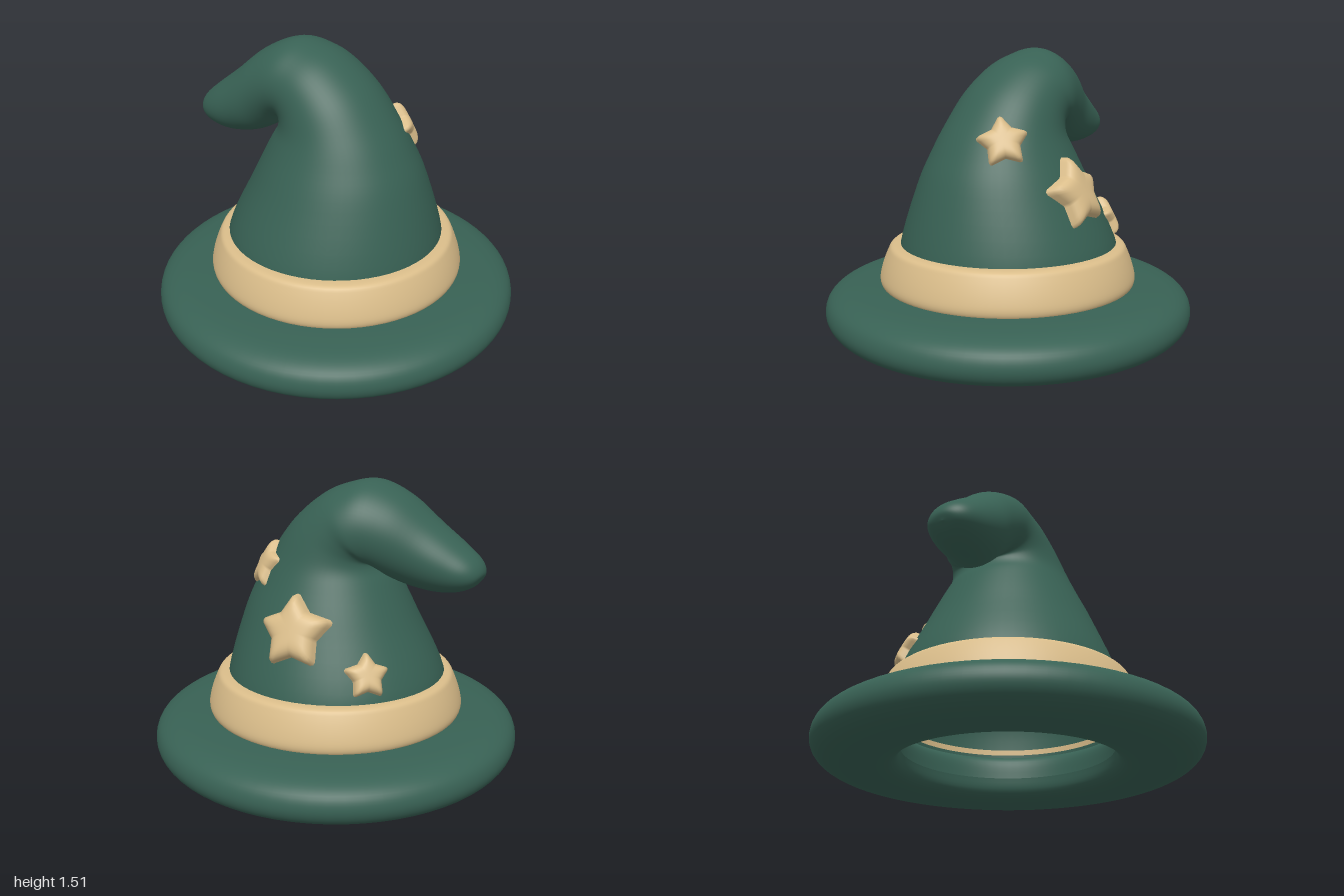
import * as THREE from 'three';
import { mergeVertices } from 'three/addons/utils/BufferGeometryUtils.js';

const V2 = (p) => new THREE.Vector2(p[0], p[1]);

// Smooth lathe from a few profile points
function lathe(points, steps) {
  const curve = new THREE.SplineCurve(points.map(V2));
  return new THREE.LatheGeometry(curve.getPoints(steps), 72);
}

// Bent crown: elliptical sections, each spanning an outer and an inner point
// [outerX, outerY, innerX, innerY, centreZ, halfWidthZ]
function crownGeometry() {
  const sections = [
    [0.60, 0.20, -0.60, 0.20, 0, 0.60],
    [0.59, 0.46, -0.60, 0.46, 0, 0.59],
    [0.50, 0.80, -0.45, 0.78, 0, 0.46],
    [0.42, 0.98, -0.35, 0.98, 0, 0.375],
    [0.33, 1.13, -0.305, 1.05, 0, 0.33],
    [0.20, 1.30, -0.29, 1.08, 0, 0.30],
    [0.04, 1.43, -0.29, 1.085, 0, 0.28],
    [-0.10, 1.49, -0.30, 1.07, 0, 0.27],
    [-0.24, 1.51, -0.32, 1.045, 0.015, 0.255],
    [-0.40, 1.44, -0.36, 1.01, 0.04, 0.23],
    [-0.55, 1.315, -0.44, 0.975, 0.075, 0.20],
    [-0.68, 1.215, -0.56, 0.955, 0.095, 0.17],
    [-0.77, 1.14, -0.67, 0.965, 0.10, 0.13],
    [-0.80, 1.08, -0.745, 0.995, 0.10, 0.075],
    [-0.785, 1.035, -0.785, 1.035, 0.10, 0],
  ];
  const spline = (f) => new THREE.CatmullRomCurve3(
    sections.map((s) => new THREE.Vector3(...f(s))), false, 'catmullrom', 0.5);
  const outer = spline((s) => [s[0], s[1], s[4]]);
  const inner = spline((s) => [s[2], s[3], s[5]]);
  const rows = 70, cols = 64, pos = [], idx = [];
  for (let i = 0; i <= rows; i++) {
    const o = outer.getPoint(i / rows), n = inner.getPoint(i / rows);
    for (let j = 0; j < cols; j++) {
      const a = (j / cols) * Math.PI * 2, c = Math.cos(a) / 2;
      pos.push((o.x + n.x) / 2 + (o.x - n.x) * c,
        (o.y + n.y) / 2 + (o.y - n.y) * c,
        o.z + n.z * Math.sin(a));
      if (i === rows) continue;
      const k = (j + 1) % cols, p = i * cols, q = p + cols;
      idx.push(p + j, q + j, p + k, q + j, q + k, p + k);
    }
  }
  const g = new THREE.BufferGeometry();
  g.setAttribute('position', new THREE.Float32BufferAttribute(pos, 3));
  g.setIndex(idx);
  g.computeVertexNormals();
  return g;
}

// Puffy five-pointed star, bent to follow the crown
function starGeometry(size, height, bend) {
  let g = new THREE.RingGeometry(0.001, 1, 80, 10);
  g.deleteAttribute('uv');
  g.deleteAttribute('normal');
  g = mergeVertices(g, 1e-5);
  const p = g.attributes.position, step = Math.PI / 5, valley = 0.6;
  for (let i = 0; i < p.count; i++) {
    const x = p.getX(i), y = p.getY(i);
    const t = Math.min(1, Math.hypot(x, y));
    const turn = Math.atan2(x, y) + Math.PI * 2;
    const m = turn % (2 * step), a = Math.min(m, 2 * step - m);
    const edge = valley * Math.sin(step) / (valley * Math.sin(step - a) + Math.sin(a));
    const r = size * Math.min(edge, 0.93) / 0.93;
    const sx = x * r;
    p.setXYZ(i, sx, y * r,
      -0.03 + (height + 0.03) * Math.sqrt(Math.max(0, 1 - t ** 5)) - sx * sx / (2 * bend));
  }
  g.computeVertexNormals();
  return g;
}

export function createModel() {
  const green = new THREE.MeshStandardMaterial({ color: 0x386154, side: THREE.DoubleSide });
  green.name = 'green felt';
  const tan = new THREE.MeshStandardMaterial({ color: 0xdabd8a, side: THREE.DoubleSide });
  tan.name = 'tan cloth';

  const hat = new THREE.Group();
  hat.name = 'hat';
  const add = (name, geometry, material) => {
    const mesh = new THREE.Mesh(geometry, material);
    mesh.name = name;
    hat.add(mesh);
    return mesh;
  };

  // Rolled brim with an open middle
  add('brim', lathe([
    [0.55, 0.12], [0.565, 0.05], [0.63, 0.012], [0.78, 0.004], [0.90, 0.018], [0.97, 0.06],
    [0.995, 0.125], [0.97, 0.195], [0.89, 0.24], [0.76, 0.258], [0.62, 0.26],
    [0.565, 0.22], [0.55, 0.12],
  ], 60), green);

  const crown = add('crown', crownGeometry(), green);

  // Band around the crown, and its edge showing inside
  const band = add('band', lathe([
    [0.61, 0.25], [0.675, 0.25], [0.697, 0.285], [0.685, 0.35], [0.655, 0.43],
    [0.63, 0.467], [0.575, 0.475],
  ], 28), tan);
  band.position.x = 0.003;
  const lining = add('bandLining', new THREE.CylinderGeometry(0.582, 0.582, 0.03, 72, 1, true), tan);
  lining.position.y = 0.28;

  // Stars sit on the crown: [name, x, y, z direction, size, height, tilt]
  const ray = new THREE.Raycaster();
  crown.updateMatrixWorld();
  [
    ['largeStar', -0.05, 0.79, -0.53, 0.205, 0.065, 0.08],
    ['sideStar', 0.25, 1.06, -0.23, 0.145, 0.04, 0.12],
    ['smallStar', -0.43, 0.60, -0.38, 0.125, 0.045, -0.05],
  ].forEach(([name, x, y, z, size, height, tilt]) => {
    const out = new THREE.Vector3(x, 0, z).normalize();
    const start = out.clone().multiplyScalar(2).setY(y);
    ray.set(start, out.clone().negate());
    const hit = ray.intersectObject(crown)[0];
    const star = add(name, starGeometry(size, height, Math.hypot(x, z)), tan);
    star.position.copy(hit.point);
    star.lookAt(hit.point.clone().add(hit.face.normal));
    star.rotateZ(tilt);
  });

  return hat;
}
